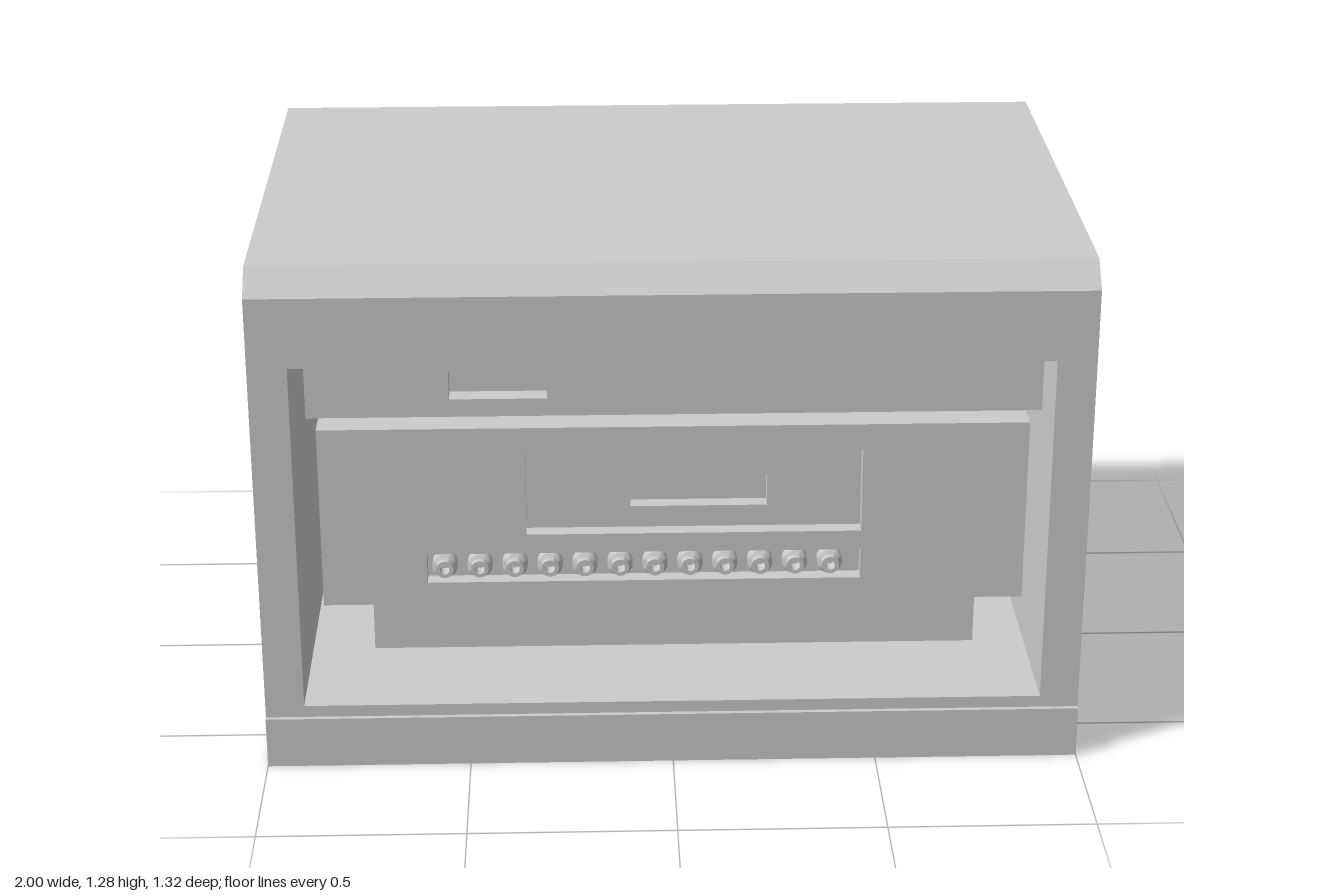
import * as THREE from 'three';
import { toCreasedNormals } from 'three/addons/utils/BufferGeometryUtils.js';

const material = new THREE.MeshStandardMaterial({ color: 0xcccccc });
const FRONT = 0.52, BACK = -0.426, FLOOR = -0.396;

function add(parent, name, geometry, x = 0, y = 0, z = 0) {
  const mesh = new THREE.Mesh(geometry, material);
  mesh.name = name;
  mesh.position.set(x, y, z);
  parent.add(mesh);
  return mesh;
}

function group(parent, name) {
  const g = new THREE.Group();
  g.name = name;
  parent.add(g);
  return g;
}

const poly = (pts) => new THREE.Shape(pts.map((p) => new THREE.Vector2(...p)));
const rect = (x0, x1, y0, y1) => poly([[x0, y0], [x1, y0], [x1, y1], [x0, y1]]);

function roundedRect(x0, x1, y0, y1, r) {
  const s = new THREE.Shape();
  s.absarc(x1 - r, y0 + r, r, -Math.PI / 2, 0);
  s.absarc(x1 - r, y1 - r, r, 0, Math.PI / 2);
  s.absarc(x0 + r, y1 - r, r, Math.PI / 2, Math.PI);
  s.absarc(x0 + r, y0 + r, r, Math.PI, Math.PI * 1.5);
  return s;
}

// Slab cut from an outline with holes, between two depths
function slab(parent, name, outline, holes, z0, z1) {
  const shape = outline.clone();
  shape.holes = holes;
  const geo = new THREE.ExtrudeGeometry(shape, { depth: z1 - z0, bevelEnabled: false, curveSegments: 6 });
  return add(parent, name, geo, 0, 0, z0);
}

function box(parent, name, x0, x1, y0, y1, z0, z1) {
  return add(parent, name, new THREE.BoxGeometry(x1 - x0, y1 - y0, z1 - z0),
    (x0 + x1) / 2, (y0 + y1) / 2, (z0 + z1) / 2);
}

// Turned part whose axis points forward (dir 1) or backward (dir -1)
function turned(profile, dir) {
  const geo = new THREE.LatheGeometry(profile.map((p) => new THREE.Vector2(...p)), 20);
  geo.rotateX(dir * Math.PI / 2);
  return toCreasedNormals(geo, 0.6);
}

const jackProfile = [[0.031, 0], [0.031, 0.028], [0.022, 0.034], [0.022, 0.05],
  [0.012, 0.05], [0.012, 0.015], [0, 0.015]];
const smallJackProfile = [[0.027, 0], [0.027, 0.015], [0.021, 0.018], [0.021, 0.05],
  [0.011, 0.05], [0.011, 0.02], [0, 0.02]];
const postProfile = [[0.05, 0], [0.05, 0.025], [0.046, 0.038], [0.034, 0.048], [0.034, 0.09],
  [0.018, 0.09], [0.018, 0.05], [0, 0.05]];

// Outer case: open tunnel frame, chamfered top and a plinth
function buildCase(parent) {
  const g = group(parent, 'case');
  slab(g, 'caseFrame', rect(-1, 1, 0, 1.225), [rect(-0.905, 0.905, 0.16, 1.05)], -0.66, 0.65);
  const side = poly([[-0.65, 1.225], [0.66, 1.225], [0.66, 1.285], [-0.59, 1.285]]);
  const top = new THREE.ExtrudeGeometry(side, { depth: 2, bevelEnabled: false });
  top.rotateY(Math.PI / 2);
  add(g, 'chamferedTop', top, -1, 0, 0);
  box(g, 'plinth', -1, 1, 0, 0.13, 0.65, 0.662);
}

// Upper module: display slot in front, sockets at the back
function buildUpper(parent) {
  const g = group(parent, 'upperModule');
  const outline = rect(-0.88, 0.895, 0.87, 1.035);
  slab(g, 'upperFrontPanel', outline, [rect(-0.535, -0.3, 0.915, 0.985)], FRONT - 0.05, FRONT);
  slab(g, 'upperBody', outline, [], FLOOR, FRONT - 0.05);
  slab(g, 'upperBackPanel', outline, [
    rect(0.345, 0.42, 0.885, 1.01),
    rect(-0.305, -0.155, 0.895, 1.01),
    rect(-0.41, -0.37, 0.92, 1.0),
    rect(-0.82, -0.48, 0.91, 0.995),
  ], BACK, FLOOR);

  // Stacked pair of data sockets
  for (const y of [0.918, 0.977]) {
    slab(g, 'dataSocket', rect(0.357, 0.408, y - 0.023, y + 0.023),
      [rect(0.367, 0.398, y - 0.014, y + 0.014)], BACK + 0.004, FLOOR);
  }
  // Two rows of jacks
  const jack = turned(smallJackProfile, -1);
  for (let row = 0; row < 2; row++)
    for (let i = 0; i < 4; i++) add(g, 'backJack', jack, 0.178 - i * 0.061, 0.925 + row * 0.062, BACK);

  // Mains inlet
  slab(g, 'inletCore', roundedRect(-0.27, -0.19, 0.92, 0.985, 0.02),
    [rect(-0.25, -0.21, 0.94, 0.965)], BACK, FLOOR);
  // Twin terminal posts
  const post = turned(postProfile, -1);
  for (const x of [0.75, 0.635]) add(g, 'terminalPost', post, x, 0.952, BACK);
}

// Lower module: stepped bottom corners, window and jack row in front
function buildLower(parent) {
  const g = group(parent, 'lowerModule');
  const outline = poly([[-0.735, 0.25], [0.75, 0.25], [0.75, 0.37], [0.868, 0.37],
    [0.868, 0.838], [-0.857, 0.838], [-0.857, 0.37], [-0.735, 0.37]]);
  slab(g, 'lowerFrontPanel', outline,
    [rect(-0.355, 0.465, 0.555, 0.77), rect(-0.6, 0.465, 0.428, 0.505)], FRONT - 0.04, FRONT);
  slab(g, 'windowLayer', outline, [rect(-0.1, 0.235, 0.61, 0.69)], FRONT - 0.08, FRONT - 0.04);
  slab(g, 'lowerBody', outline, [], FLOOR, FRONT - 0.08);
  slab(g, 'lowerBackPanel', outline, [
    rect(0.15, 0.415, 0.735, 0.805),
    rect(0.64, 0.71, 0.71, 0.765),
    rect(-0.16, 0.003, 0.425, 0.505),
    roundedRect(-0.64, -0.315, 0.415, 0.575, 0.03),
  ], BACK, FLOOR);

  // Front jack row
  const jack = turned(jackProfile, 1);
  for (let i = 0; i < 12; i++) add(g, 'frontJack', jack, -0.557 + i * 0.0861, 0.467, FRONT - 0.04);

  // Multi-pin sockets at the back
  const pinSocket = (x0, x1, y0, y1, count) => {
    slab(g, 'socketShell', rect(x0, x1, y0, y1),
      [rect(x0 + 0.01, x1 - 0.01, y0 + 0.01, y1 - 0.01)], BACK - 0.008, FLOOR);
    const step = (x1 - x0) / count, y = (y0 + y1) / 2;
    for (let i = 0; i < count; i++) {
      const x = x0 + step * (i + 0.5);
      box(g, 'socketPin', x - 0.006, x + 0.006, y - 0.008, y + 0.008, BACK, FLOOR);
    }
  };
  pinSocket(0.185, 0.38, 0.743, 0.797, 6);
  pinSocket(-0.145, -0.012, 0.437, 0.493, 4);

  // Twin terminal posts in their rounded recess
  const post = turned(postProfile, -1);
  for (const x of [-0.415, -0.54]) add(g, 'terminalPost', post, x, 0.495, FLOOR);
}

export function createModel() {
  const model = new THREE.Group();
  model.name = 'equipmentCase';
  buildCase(model);
  buildUpper(model);
  buildLower(model);
  return model;
}
